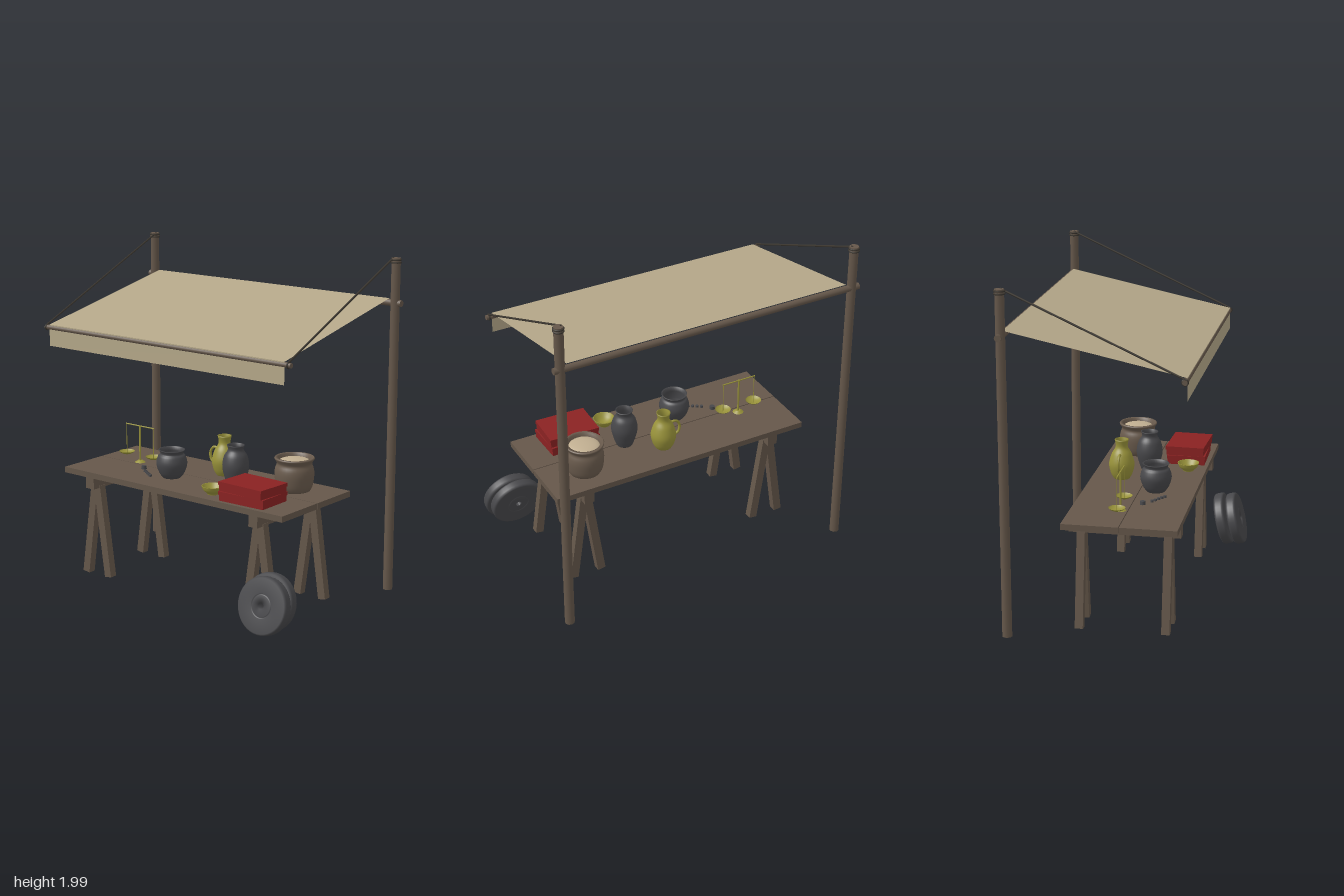
import * as THREE from 'three';

const mat = (name, color) => Object.assign(new THREE.MeshStandardMaterial({ color }), { name });

export function createModel() {
  const root = new THREE.Group();
  root.name = 'marketStall';

  const wood = mat('wood', 0x65574a);
  const cloth = mat('canvas', 0xb3a688);
  const rope = mat('rope', 0x3b362f);
  const stone = mat('dark stone', 0x47474a);
  const brass = mat('ochre', 0x98923a);
  const red = mat('red', 0x8a2222);
  const clay = mat('clay', 0x6a5b4d);
  const grain = mat('grain', 0xc0ae90);
  cloth.side = THREE.DoubleSide;
  stone.side = brass.side = clay.side = THREE.DoubleSide;

  const add = (name, geo, m, x = 0, y = 0, z = 0, parent = root) => {
    const mesh = new THREE.Mesh(geo, m);
    mesh.name = name;
    mesh.position.set(x, y, z);
    parent.add(mesh);
    return mesh;
  };
  const box = (name, w, h, d, m, x, y, z, parent) =>
    add(name, new THREE.BoxGeometry(w, h, d), m, x, y, z, parent);
  // Cylinder running between two points
  const rod = (name, a, b, r, m, sides = 8, parent = root) => {
    const p = new THREE.Vector3(...a), q = new THREE.Vector3(...b);
    const d = q.clone().sub(p);
    const mesh = add(name, new THREE.CylinderGeometry(r, r, d.length(), sides), m, 0, 0, 0, parent);
    mesh.position.copy(p).add(q).multiplyScalar(0.5);
    mesh.quaternion.setFromUnitVectors(new THREE.Vector3(0, 1, 0), d.normalize());
    return mesh;
  };
  // Smooth turned vessel: curve through outer points, then a short inner wall
  const vessel = (name, outer, inner, m, x, y, z) => {
    const curve = new THREE.SplineCurve(outer.map(p => new THREE.Vector2(...p)));
    const pts = [new THREE.Vector2(0, 0), ...curve.getPoints(24), ...inner.map(p => new THREE.Vector2(...p))];
    return add(name, new THREE.LatheGeometry(pts, 32), m, x, y, z);
  };

  // Posts, awning poles and stay ropes
  const zPost = -0.556;
  for (const [x, ropeX] of [[-0.917, -0.905], [0.899, 0.882]]) {
    add('post', new THREE.CylinderGeometry(0.027, 0.029, 1.98, 10), wood, x, 1.0, zPost);
    rod('stayRope', [ropeX, 1.99, zPost], [ropeX, 1.54, 0.44], 0.006, rope, 6);
    for (const y of [1.95, 1.965]) {
      add('ropeLashing', new THREE.TorusGeometry(0.028, 0.005, 6, 16), rope, x, y + 0.015, zPost)
        .rotation.x = Math.PI / 2;
    }
    add('poleLashing', new THREE.TorusGeometry(0.016, 0.005, 6, 14), rope, ropeX, 1.525, 0.437)
      .rotation.y = Math.PI / 2;
  }
  rod('backPole', [-0.96, 1.73, -0.56], [0.94, 1.73, -0.56], 0.02, wood, 10);
  rod('frontPole', [-0.915, 1.525, 0.437], [0.9, 1.525, 0.437], 0.015, wood, 10);

  // Awning: sloped sheet with a hanging front flap
  const sheet = (name, y0, z0, y1, z1) => {
    const g = new THREE.PlaneGeometry(1.74, 1, 1, 1);
    const p = g.attributes.position;
    for (let i = 0; i < p.count; i++) {
      const back = p.getY(i) > 0;
      p.setXYZ(i, p.getX(i), back ? y0 : y1, back ? z0 : z1);
    }
    g.computeVertexNormals();
    add(name, g, cloth, -0.009);
  };
  sheet('awning', 1.755, -0.555, 1.543, 0.445);
  sheet('awningFlap', 1.543, 0.445, 1.415, 0.447);

  // Table top: two planks
  box('frontPlank', 1.645, 0.035, 0.325, wood, -0.008, 0.647, 0.2275);
  box('backPlank', 1.645, 0.035, 0.325, wood, -0.008, 0.647, -0.1025);

  // Trestles
  for (const x of [-0.63, 0.608]) {
    const trestle = new THREE.Group();
    trestle.name = 'trestle';
    root.add(trestle);
    box('trestleBeam', 0.063, 0.07, 0.64, wood, x, 0.595, 0.065, trestle);
    for (const z of [0.312, -0.185]) for (const s of [-1, 1]) {
      const leg = box('trestleLeg', 0.05, 0.57, 0.047, wood, x + s * 0.05, 0.288, z, trestle);
      leg.rotation.z = s * 0.14;
    }
  }

  // Leaning millstones
  const wheelShape = [[0.018, -0.031], [0.06, -0.031], [0.062, -0.027], [0.068, -0.027], [0.07, -0.031],
    [0.154, -0.031], [0.162, -0.024], [0.164, -0.015], [0.164, 0.015], [0.162, 0.024], [0.154, 0.031],
    [0.07, 0.031], [0.068, 0.027], [0.062, 0.027], [0.06, 0.031], [0.018, 0.031], [0.018, -0.031]];
  const wheelGeo = new THREE.LatheGeometry(wheelShape.map(p => new THREE.Vector2(...p)), 40);
  for (const [x, z] of [[0.792, 0.517], [0.777, 0.442]])
    add('millstone', wheelGeo, stone, x, 0.179, z).rotation.x = Math.PI / 2 - 0.25;

  // Goods on the table
  const top = 0.665;
  vessel('roundPot', [[0.052, 0], [0.075, 0.03], [0.092, 0.085], [0.082, 0.13], [0.068, 0.148], [0.078, 0.17]],
    [[0.07, 0.17], [0.06, 0.148], [0.082, 0.085], [0.05, 0.012], [0, 0.012]], stone, -0.175, top, 0.158);
  vessel('tallVase', [[0.048, 0], [0.066, 0.05], [0.079, 0.115], [0.068, 0.175], [0.046, 0.212], [0.052, 0.24]],
    [[0.045, 0.24], [0.038, 0.212], [0.06, 0.17], [0.068, 0.11], [0, 0.02]], stone, 0.222, top, 0.05);
  vessel('jug', [[0.048, 0], [0.066, 0.035], [0.076, 0.09], [0.06, 0.15], [0.036, 0.195], [0.042, 0.24]],
    [[0.036, 0.24], [0.029, 0.195], [0.052, 0.15], [0.066, 0.09], [0, 0.02]], brass, 0.031, top, -0.085);
  const handle = new THREE.CatmullRomCurve3([[-0.04, 0.155], [-0.085, 0.155], [-0.108, 0.12], [-0.1, 0.075],
    [-0.07, 0.06]].map(([x, y]) => new THREE.Vector3(x, y, 0)));
  add('jugHandle', new THREE.TubeGeometry(handle, 20, 0.008, 8), brass, 0.031, top, -0.085);
  vessel('bowl', [[0.032, 0], [0.036, 0.008], [0.055, 0.026], [0.065, 0.05]],
    [[0.059, 0.05], [0.047, 0.026], [0.025, 0.012], [0, 0.01]], brass, 0.241, top, 0.285);
  vessel('grainPot', [[0.092, 0], [0.107, 0.03], [0.115, 0.09], [0.112, 0.13], [0.102, 0.158], [0.108, 0.175], [0.117, 0.19], [0.112, 0.197]],
    [[0.096, 0.195], [0.09, 0.16], [0.095, 0.12], [0, 0.1]], clay, 0.55, top, -0.08);
  const heap = add('grain', new THREE.SphereGeometry(0.094, 28, 8, 0, Math.PI * 2, 0, Math.PI / 2), grain, 0.55, top + 0.168, -0.08);
  heap.scale.y = 0.25;

  // Stacked red boxes with overhanging lids
  for (const [y, turn, w] of [[0, 0.02, 0.315], [0.055, -0.04, 0.312]]) {
    const crate = new THREE.Group();
    crate.name = 'redBox';
    crate.position.set(0.503, top + y, 0.25);
    crate.rotation.y = turn;
    root.add(crate);
    box('boxBody', w - 0.008, 0.035, 0.228, red, 0, 0.0175, 0, crate);
    box('boxLid', w, 0.02, 0.236, red, 0, 0.045, 0, crate);
  }

  // Balance scale
  const scale = new THREE.Group();
  scale.name = 'balanceScale';
  scale.position.set(-0.548, top, 0.02);
  root.add(scale);
  add('scaleBase', new THREE.CylinderGeometry(0.015, 0.033, 0.012, 20), brass, 0, 0.006, 0, scale);
  rod('scaleColumn', [0, 0.005, 0], [0, 0.23, 0], 0.006, brass, 10, scale);
  rod('scaleBeam', [-0.113, 0.227, 0], [0.113, 0.227, 0], 0.004, brass, 8, scale);
  const pan = new THREE.LatheGeometry([[0, 0.034], [0.025, 0.037], [0.042, 0.046], [0.048, 0.053]]
    .map(p => new THREE.Vector2(...p)), 24);
  for (const s of [-1, 1]) {
    add('scalePan', pan, brass, s * 0.108, 0, 0, scale);
    rod('panHanger', [s * 0.108, 0.227, 0], [s * 0.108, 0.035, 0], 0.002, brass, 5, scale);
  }

  // Weights: one large and a row of small ones
  add('largeWeight', new THREE.CylinderGeometry(0.015, 0.017, 0.02, 14), stone, -0.425, top + 0.01, 0.125);
  for (let i = 0; i < 5; i++)
    add('smallWeight', new THREE.CylinderGeometry(0.009, 0.01, 0.012, 12), stone,
      -0.375 + i * 0.023, top + 0.006, 0.17 + i * 0.015);

  return root;
}
